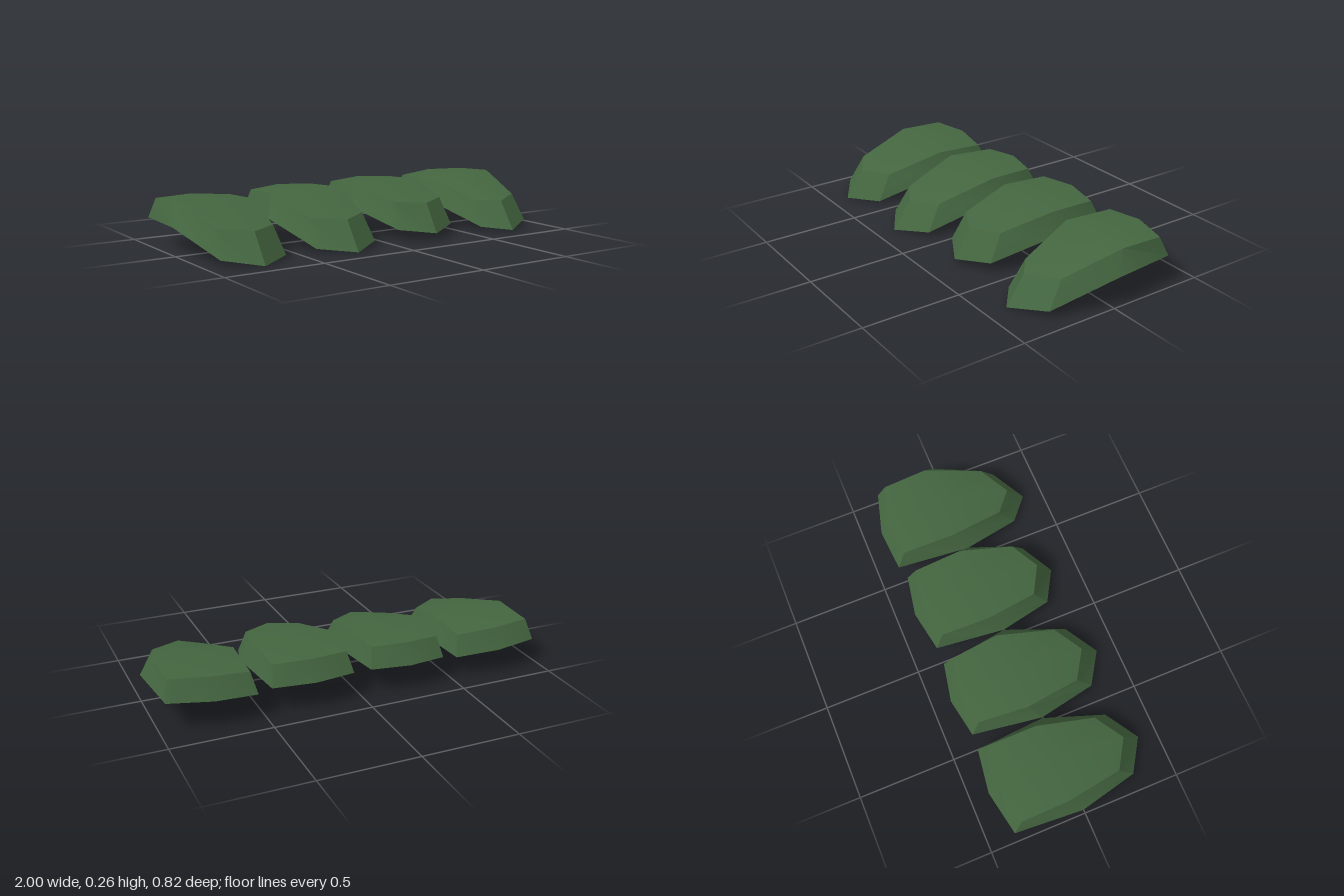
import * as THREE from 'three';
import { toCreasedNormals } from 'three/addons/utils/BufferGeometryUtils.js';

// Half outlines [x, y, z] from the back centre round to the front tip.
const LOWER = [[0, 0.14, -0.41], [0.215, 0.134, -0.372], [0.25, 0.136, -0.02], [0.167, 0.027, 0.295], [0, 0.008, 0.402]];
const UPPER = [[0, 0.243, -0.36], [0.193, 0.234, -0.327], [0.2, 0.245, -0.08], [0.145, 0.158, 0.215], [0, 0.15, 0.305]];
const CROWN = [0, 0.256, -0.07];

// Small differences that make each plate look hand cut.
const PLATES = [
  { x: -0.75, back: 1.05, skew: -0.02, roll: -0.04, lift: -0.009, front: 0.005, length: 1.01, tip: 0 },
  { x: -0.25, back: 0.92, skew: 0.01, roll: 0.01, lift: -0.001, front: 0, length: 1, tip: 0 },
  { x: 0.25, back: 0.98, skew: 0, roll: 0, lift: 0.003, front: 0.027, length: 0.89, tip: 0 },
  { x: 0.75, back: 1.0, skew: 0.1, roll: 0.045, lift: 0.007, front: -0.003, length: 0.985, tip: -0.025 },
];

// Mirrors a half outline into a closed ring of eight points.
function ring(half) {
  const mirrored = half.slice(1, 4).reverse().map(([x, y, z]) => [-x, y, z]);
  return [...half, ...mirrored];
}

// Bends one point of the shared outline to suit a plate.
function adjust([x, y, z], p) {
  if (z < -0.2) {
    x *= p.back;
    z += p.skew * x;
  }
  if (z > 0.2) {
    y += p.front;
    z *= p.length;
    if (x === 0) x += p.tip;
    else if (p.tip) x *= 0.9;
  }
  return [x, Math.max(0.004, y + p.lift + p.roll * x), z];
}

function plateGeometry(p) {
  const lower = ring(LOWER).map((v) => adjust(v, p));
  const upper = ring(UPPER).map((v) => adjust(v, p));
  const crown = adjust(CROWN, p);
  const positions = [];
  const tri = (a, b, c) => positions.push(...a, ...b, ...c);

  for (let i = 0; i < 8; i++) {
    const j = (i + 1) % 8;
    // bevelled side
    tri(lower[i], upper[i], upper[j]);
    tri(lower[i], upper[j], lower[j]);
    // top, fanned around the crown
    tri(upper[i], crown, upper[j]);
  }
  // underside: a rear panel and a sloping front panel meeting at the bend
  for (const panel of [[0, 1, 2, 6, 7], [2, 3, 4, 5, 6]]) {
    for (let k = 1; k < 4; k++) tri(lower[panel[0]], lower[panel[k]], lower[panel[k + 1]]);
  }

  const geometry = new THREE.BufferGeometry();
  geometry.setAttribute('position', new THREE.Float32BufferAttribute(positions, 3));
  return toCreasedNormals(geometry, 0.55);
}

export function createModel() {
  const model = new THREE.Group();
  model.name = 'plateRow';
  const green = new THREE.MeshStandardMaterial({ color: 0x446640 });
  green.name = 'mossGreen';

  PLATES.forEach((p, i) => {
    const plate = new THREE.Mesh(plateGeometry(p), green);
    plate.name = `plate${i + 1}`;
    plate.position.x = p.x;
    model.add(plate);
  });
  return model;
}
